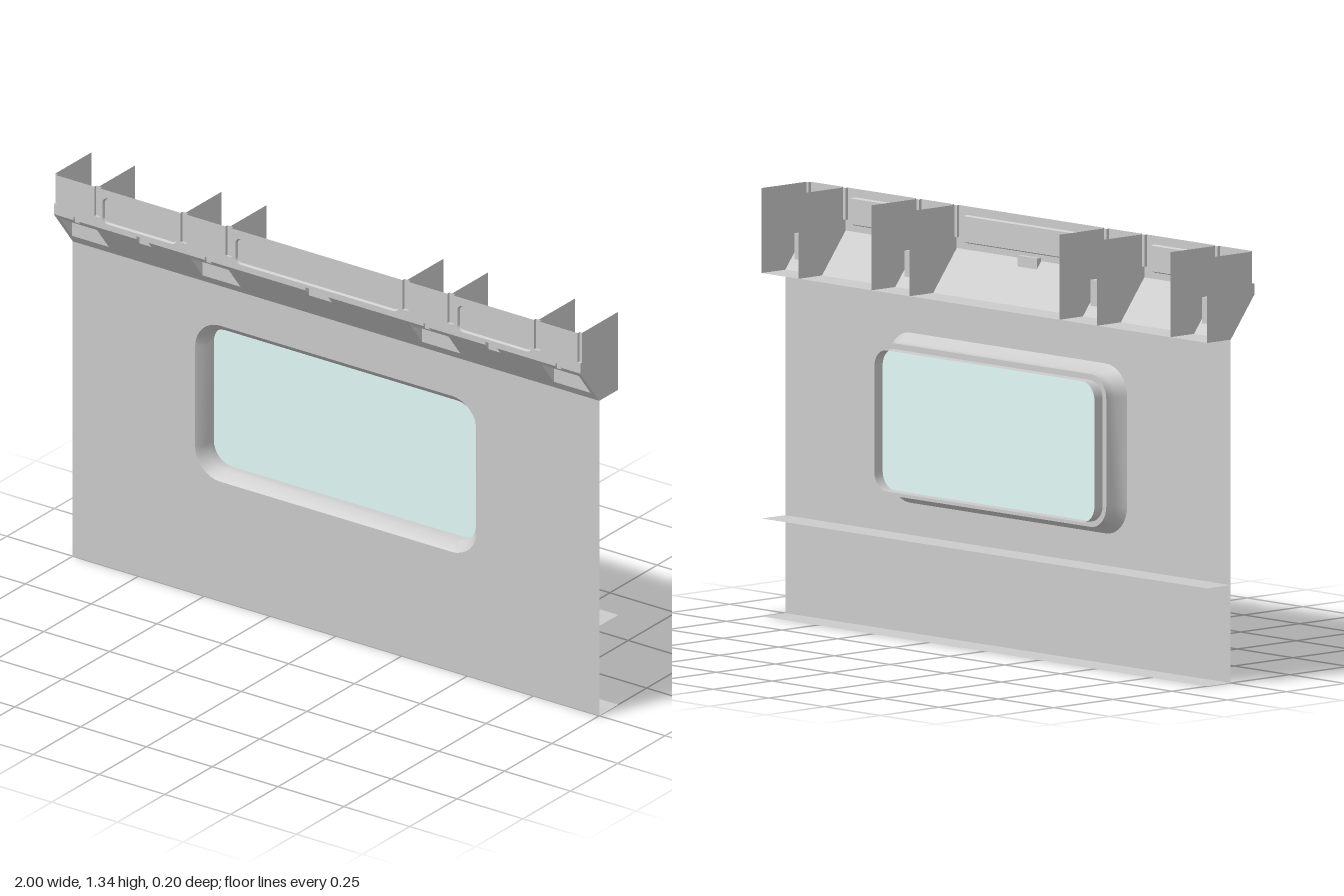
import * as THREE from 'three';

const TOP = 1.335, KNEE = 1.2, SHELF = 1.07, SLOT_LOW = 1.235, NOTCH = 1.21;
const slopeZ = (y) => 0.1 * (y - SHELF) / (KNEE - SHELF);

const grey = new THREE.MeshStandardMaterial({ color: 0xcccccc, side: THREE.DoubleSide });
const glassMat = new THREE.MeshStandardMaterial({ color: 0xe2fbf7, side: THREE.DoubleSide });

const poly = (pts) => new THREE.Shape(pts.map(([x, y]) => new THREE.Vector2(x, y)));

// Rounded rectangle outline, counter-clockwise, fixed point count so rings can be lofted
function ring(cx, cy, hw, hh, r, seg = 8) {
  const pts = [];
  [[1, 1], [-1, 1], [-1, -1], [1, -1]].forEach(([sx, sy], q) => {
    for (let i = 0; i <= seg; i++) {
      const a = (q + i / seg) * Math.PI / 2;
      pts.push([cx + sx * (hw - r) + r * Math.cos(a), cy + sy * (hh - r) + r * Math.sin(a)]);
    }
  });
  return pts;
}

// Surface through a list of closed rings { pts, z }
function loft(rings) {
  const n = rings[0].pts.length, pos = [], idx = [];
  rings.forEach(({ pts, z }) => pts.forEach(([x, y]) => pos.push(x, y, z)));
  for (let k = 0; k < rings.length - 1; k++) {
    for (let i = 0; i < n; i++) {
      const a = k * n + i, b = k * n + (i + 1) % n;
      idx.push(a, b, a + n, b, b + n, a + n);
    }
  }
  const g = new THREE.BufferGeometry();
  g.setAttribute('position', new THREE.Float32BufferAttribute(pos, 3));
  g.setIndex(idx);
  g.computeVertexNormals();
  return g;
}

// Flat-faced sheet following a (z, y) profile from x0 to x1
function sheet(x0, x1, profile) {
  const pos = [];
  for (let i = 0; i < profile.length - 1; i++) {
    const [za, ya] = profile[i], [zb, yb] = profile[i + 1];
    pos.push(x0, ya, za, x1, ya, za, x1, yb, zb, x0, ya, za, x1, yb, zb, x0, yb, zb);
  }
  const g = new THREE.BufferGeometry();
  g.setAttribute('position', new THREE.Float32BufferAttribute(pos, 3));
  g.computeVertexNormals();
  return g;
}

// Flat plate in the (z, y) plane at a given x
function plate(x, profile) {
  const g = new THREE.ShapeGeometry(poly(profile.map(([z, y]) => [-z, y])));
  return g.rotateY(Math.PI / 2).translate(x, 0, 0);
}

export function createModel() {
  const model = new THREE.Group();
  const add = (name, geometry, material = grey, parent = model) => {
    const m = new THREE.Mesh(geometry, material);
    m.name = name;
    parent.add(m);
    return m;
  };

  // Main wall with window opening
  const winY = 0.67;
  const outer = ring(0, winY, 0.535, 0.265, 0.095);
  const inner = ring(0, winY, 0.51, 0.238, 0.07);
  const rear = ring(0, winY, 0.494, 0.22, 0.055);
  const wall = poly([[-1, 0], [1, 0], [1, SHELF], [-1, SHELF]]);
  wall.holes.push(poly(outer));
  add('wallPanel', new THREE.ShapeGeometry(wall));

  // Window surround: flared lip, tunnel, step and rear tunnel
  add('windowLip', loft([{ pts: outer, z: 0 }, { pts: inner, z: -0.03 }, { pts: inner, z: -0.065 }]));
  add('windowStep', loft([{ pts: inner, z: -0.065 }, { pts: rear, z: -0.065 }]));
  add('windowRearFrame', loft([{ pts: rear, z: -0.065 }, { pts: rear, z: -0.1 }]));
  add('windowGlass', new THREE.ShapeGeometry(poly(inner)).translate(0, 0, -0.064), glassMat);

  // Rear flanges and the shelf under the upper trough
  for (const [name, y] of [['bottomFlange', 0], ['middleFlange', 0.305], ['shelf', SHELF]]) {
    add(name, sheet(-1, 1, [[0, y], [-0.1, y]]));
  }

  // Positions along the trough, mirrored to both sides
  const mirror = (list) => [...list.map(([a, b]) => [-b, -a]), ...list].sort((p, q) => p[0] - q[0]);
  const slots = mirror([[0.325, 0.348], [0.495, 0.518], [0.824, 0.846]]);
  const bigPockets = mirror([[0.345, 0.49], [0.845, 0.985]]);
  const clips = [
    ...mirror([[0.405, 0.425], [0.905, 0.925]]).map((p) => [...p, 1.19]),
    ...mirror([[0.64, 0.685]]).map((p) => [...p, 1.18]),
    [-0.043, 0.043, 1.176],
  ].sort((p, q) => p[0] - q[0]);
  const recesses = [[-0.815, -0.533], [-0.31, 0.31], [0.533, 0.815]];

  // Upright front face, cut for the slots, clips and recessed panels
  const face = [[-1, KNEE]];
  clips.forEach(([a, b]) => face.push([a, KNEE], [a, NOTCH], [b, NOTCH], [b, KNEE]));
  face.push([1, KNEE], [1, SLOT_LOW], [0.99, SLOT_LOW], [0.99, TOP]);
  [...slots].reverse().forEach(([a, b]) => face.push([b, TOP], [b, SLOT_LOW], [a, SLOT_LOW], [a, TOP]));
  face.push([-0.99, TOP], [-0.99, SLOT_LOW], [-1, SLOT_LOW]);
  const faceShape = poly(face);
  for (const [a, b] of recesses) {
    const cx = (a + b) / 2, hw = (b - a) / 2;
    const rim = ring(cx, 1.264, hw, 0.044, 0.02, 5);
    const bed = ring(cx, 1.264, hw - 0.004, 0.04, 0.016, 5);
    faceShape.holes.push(poly(rim));
    add('recessEdge', loft([{ pts: rim, z: 0.1 }, { pts: bed, z: 0.092 }]));
    add('recessPanel', new THREE.ShapeGeometry(poly(bed)).translate(0, 0, 0.092));
  }
  add('troughFace', new THREE.ShapeGeometry(faceShape).translate(0, 0, 0.1));

  // Sloped underside with its cutouts, leaned forward by height
  const slope = [[-1, SHELF], [1, SHELF], [1, KNEE]];
  [...clips].reverse().forEach(([a, b, y]) => slope.push([b, KNEE], [b, y], [a, y], [a, KNEE]));
  slope.push([-1, KNEE]);
  const slopeShape = poly(slope);
  const LOW = 1.102, HIGH = 1.183;
  bigPockets.forEach(([a, b]) => slopeShape.holes.push(poly([[a, LOW], [b, LOW], [b, HIGH], [a, HIGH]])));
  const slopeGeo = new THREE.ShapeGeometry(slopeShape);
  const p = slopeGeo.attributes.position;
  for (let i = 0; i < p.count; i++) p.setZ(i, slopeZ(p.getY(i)));
  slopeGeo.computeVertexNormals();
  add('troughSlope', slopeGeo);

  // Pocket: back and top from an open profile, plus its side walls
  function pocket(name, a, b, profile, walls = [a, b], closing = []) {
    const g = new THREE.Group();
    g.name = name;
    model.add(g);
    add('pocketLining', sheet(a, b, profile), grey, g);
    walls.forEach((x) => add('pocketSide', plate(x, [...profile, ...closing]), grey, g));
  }
  for (const [a, b] of bigPockets) {
    pocket('largePocket', a, b, [[slopeZ(LOW), LOW], [slopeZ(LOW), HIGH], [slopeZ(HIGH), HIGH]]);
  }
  for (const [a, b, y] of clips) {
    pocket('clipPocket', a, b, [[slopeZ(y), y], [slopeZ(y), NOTCH], [0.1, NOTCH]], [a, b], [[0.1, KNEE]]);
  }
  const slotProfile = [[0.1, SLOT_LOW], [0.09, SLOT_LOW], [0.09, TOP]];
  for (const [a, b] of slots) pocket('faceSlot', a, b, slotProfile, [a, b], [[0.1, TOP]]);
  pocket('endSlot', -1, -0.99, slotProfile, [-0.99], [[0.1, TOP]]);
  pocket('endSlot', 0.99, 1, slotProfile, [0.99], [[0.1, TOP]]);

  // Divider plates across the trough
  const divider = [[-0.1, SHELF], [0, SHELF], [0.1, KNEE], [0.1, SLOT_LOW], [0.09, SLOT_LOW], [0.09, TOP], [-0.1, TOP]];
  for (const x of [0.336, 0.506, 0.835, 1]) {
    for (const s of [-1, 1]) add('divider', plate(s * x, divider));
  }

  return model;
}
